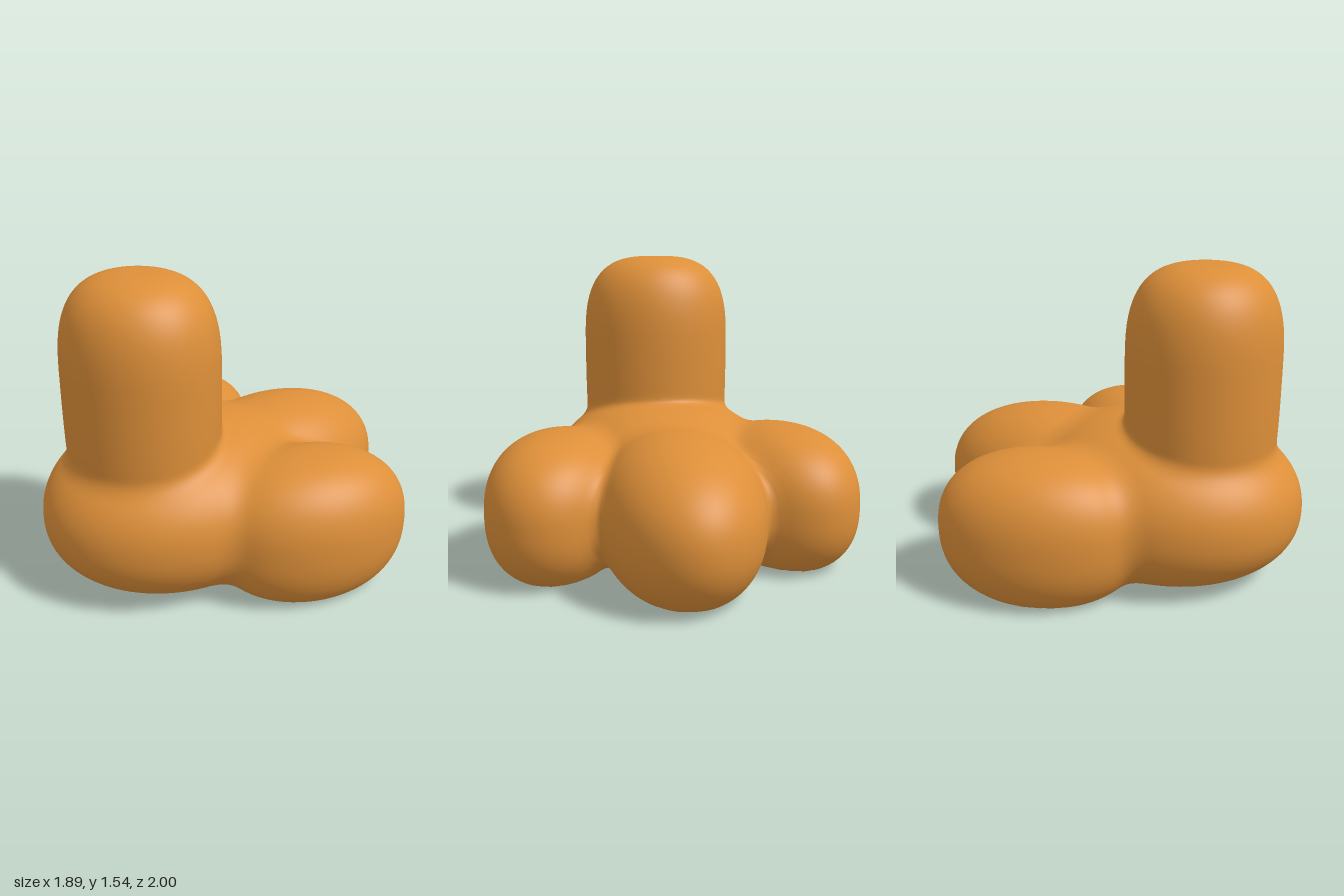
import * as THREE from 'three';
import { mergeVertices } from 'three/addons/utils/BufferGeometryUtils.js';

// Rounded lobe: centre c, half sizes [x, up, down, z], exponent n, turn about y, blend k
const lobe = (c, [rx, up, down, rz], n, turn, k) => {
  const cos = Math.cos(turn), sin = Math.sin(turn), scale = Math.min(rx, rz);
  const field = (x, y, z) => {
    const dx = x - c[0], dy = y - c[1], dz = z - c[2];
    const flat = Math.hypot((dx * cos + dz * sin) / rx, (dz * cos - dx * sin) / rz);
    const tall = Math.abs(dy) / (dy > 0 ? up : down);
    return ((flat ** n + tall ** n) ** (1 / n) - 1) * scale;
  };
  return { field, k };
};

const lobes = [
  lobe([0, 0.345, 0.28], [0.6, 0.43, 0.405, 0.72], 2.2, 0, 0),           // front body
  lobe([0, 0.31, -0.35], [0.41, 0.4, 0.405, 0.65], 2.2, 0, 0.05),        // back lobe
  lobe([0.57, 0.31, -0.1], [0.358, 0.375, 0.375, 0.507], 2.4, 0.31, 0.07),   // left lobe
  lobe([-0.57, 0.31, -0.1], [0.358, 0.375, 0.375, 0.507], 2.4, -0.31, 0.07), // right lobe
  lobe([0, 1.05, 0.485], [0.4, 0.495, 1.1, 0.375], 3, 0, 0.05),          // upright column
];

// Softly blended union of the lobes, cut flat at the ground
function blended(x, y, z) {
  let d = Infinity;
  for (const { field, k } of lobes) {
    const e = field(x, y, z);
    const h = k > 0 ? Math.max(k - Math.abs(d - e), 0) : 0;
    d = Math.min(d, e) - (k > 0 ? (h * h) / (4 * k) : 0);
  }
  return Math.max(d, -y);
}

// Push each point of a sphere out along its ray until it meets the blended surface
function blendedGeometry() {
  const centre = new THREE.Vector3(0, 0.38, 0.24);
  let geo = new THREE.SphereGeometry(1, 224, 160);
  geo.deleteAttribute('uv');
  geo.deleteAttribute('normal');
  const pos = geo.attributes.position;
  const dir = new THREE.Vector3(), p = new THREE.Vector3();
  for (let i = 0; i < pos.count; i++) {
    dir.fromBufferAttribute(pos, i).normalize();
    let near = 0, far = 1.8;
    for (let s = 0; s < 26; s++) {
      const mid = (near + far) / 2;
      p.copy(centre).addScaledVector(dir, mid);
      if (blended(p.x, p.y, p.z) < 0) near = mid;
      else far = mid;
    }
    p.copy(centre).addScaledVector(dir, near);
    pos.setXYZ(i, p.x, p.y, p.z);
  }
  geo = mergeVertices(geo, 1e-5);
  geo.computeVertexNormals();
  return geo;
}

export function createModel() {
  const orange = new THREE.MeshStandardMaterial({ color: 0xdd8f39 });
  orange.name = 'warm orange';
  const group = new THREE.Group();
  group.name = 'lobedFigure';
  const body = new THREE.Mesh(blendedGeometry(), orange);
  body.name = 'blendedBody';
  group.add(body);
  return group;
}
